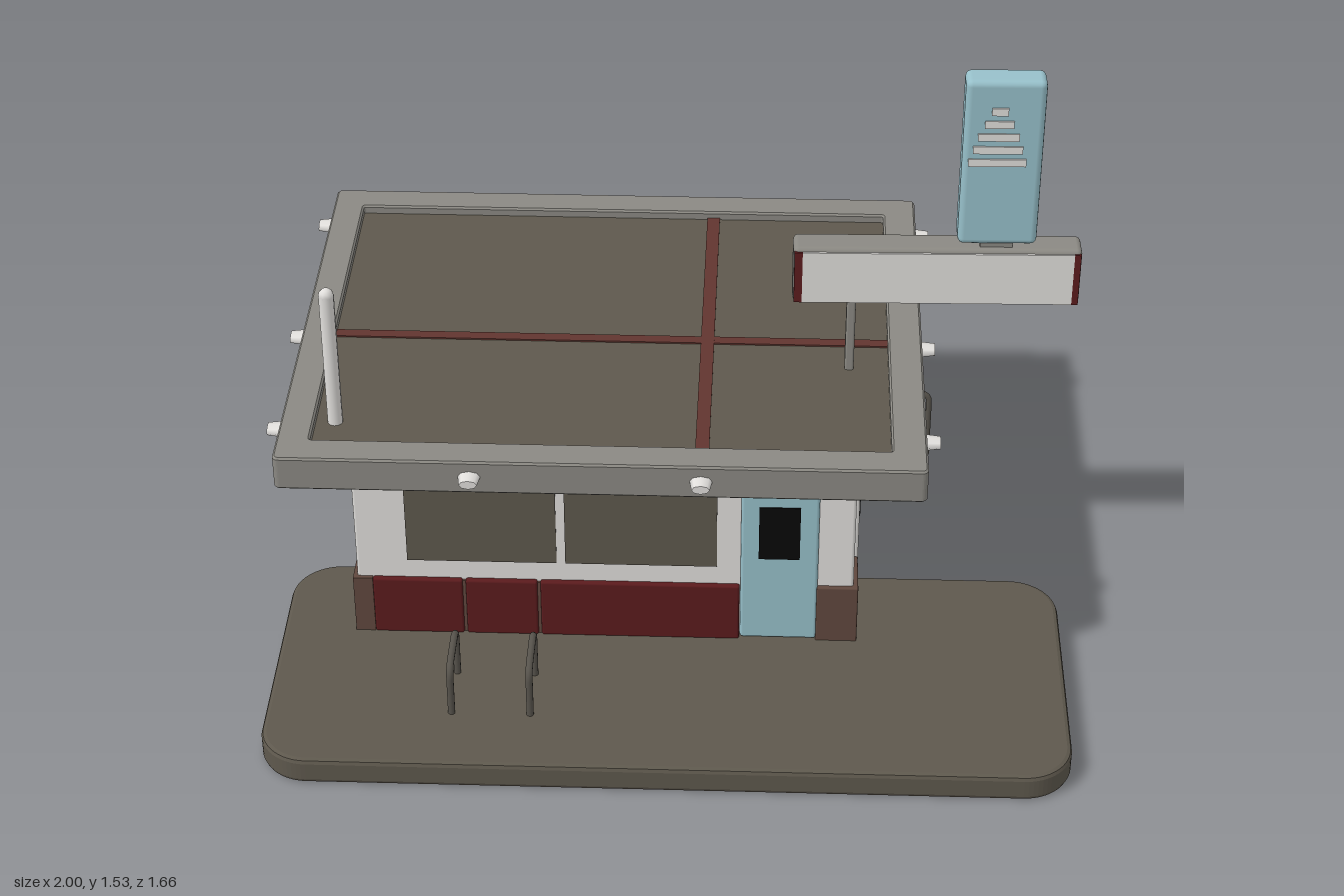
import * as THREE from 'three';
import { RoundedBoxGeometry } from 'three/addons/geometries/RoundedBoxGeometry.js';

const mat = (name, color) => Object.assign(new THREE.MeshStandardMaterial({ color }), { name });

export function createModel() {
  const model = new THREE.Group();
  model.name = 'roadsideDiner';
  const asphalt = mat('asphalt', 0x5e584d), grey = mat('trimGrey', 0x8b8983);
  const white = mat('wallWhite', 0xe1dfdc), red = mat('darkRed', 0x5b1b1d);
  const brown = mat('brown', 0x60483e), blue = mat('paleBlue', 0x97c0ca);
  const orange = mat('orange', 0xe2960e), black = mat('glassBlack', 0x080808);
  const stripe = mat('roofStripe', 0x61352f), steel = mat('railSteel', 0x57534c);

  const add = (name, geometry, material, parent = model) => {
    const mesh = new THREE.Mesh(geometry, material);
    mesh.name = name;
    parent.add(mesh);
    return mesh;
  };
  // Box given by its min and max on each axis, with optional rounded edges
  const box = (name, material, x0, x1, y0, y1, z0, z1, r = 0, parent = model) => {
    const s = [x1 - x0, y1 - y0, z1 - z0];
    const g = r ? new RoundedBoxGeometry(...s, 2, r) : new THREE.BoxGeometry(...s);
    g.translate((x0 + x1) / 2, (y0 + y1) / 2, (z0 + z1) / 2);
    return add(name, g, material, parent);
  };
  // Pipe through points: straight runs with rounded bends
  const pipe = (name, material, pts, radius, bend = 0.03) => {
    const v = pts.map((p) => new THREE.Vector3(...p));
    const path = new THREE.CurvePath();
    let from = v[0];
    for (let i = 1; i < v.length - 1; i++) {
      const a = v[i].clone().add(v[i - 1].clone().sub(v[i]).setLength(bend));
      const b = v[i].clone().add(v[i + 1].clone().sub(v[i]).setLength(bend));
      path.add(new THREE.LineCurve3(from, a));
      path.add(new THREE.QuadraticBezierCurve3(a, v[i], b));
      from = b;
    }
    path.add(new THREE.LineCurve3(from, v[v.length - 1]));
    const mesh = add(name, new THREE.TubeGeometry(path, 48, radius, 10), material);
    // End caps
    [v[0], v[v.length - 1]].forEach((p) => {
      const cap = add(name + 'Cap', new THREE.SphereGeometry(radius, 10, 6), material, mesh);
      cap.position.copy(p);
    });
  };
  // Closed outline with rounded corners
  const outline = (Type, x0, x1, y0, y1, r) => {
    const s = new Type();
    s.absarc(x1 - r, y1 - r, r, 0, Math.PI / 2);
    s.absarc(x0 + r, y1 - r, r, Math.PI / 2, Math.PI);
    s.absarc(x0 + r, y0 + r, r, Math.PI, Math.PI * 1.5);
    s.absarc(x1 - r, y0 + r, r, Math.PI * 1.5, Math.PI * 2);
    s.closePath();
    return s;
  };

  // Forecourt slab
  const slab = new THREE.ExtrudeGeometry(outline(THREE.Shape, -0.985, 0.98, -0.82, -0.07, 0.11), {
    depth: 0.048, bevelSize: 0.012, bevelThickness: 0.012, bevelSegments: 2, curveSegments: 8,
  });
  slab.rotateX(-Math.PI / 2).translate(0, 0.012, 0);
  add('forecourt', slab, asphalt);

  // Walls, floor and skirting
  box('walls', white, -0.80, 0.458, 0.08, 0.64, -0.627, 0.315, 0.008);
  box('floor', asphalt, -0.80, 0.46, 0.064, 0.08, -0.62, 0.31);
  box('skirtBack', red, -0.81, 0.468, 0.066, 0.238, -0.636, -0.61);
  box('skirtLeft', red, -0.81, -0.79, 0.066, 0.238, -0.62, 0.19);
  box('skirtLeftFront', brown, -0.81, -0.79, 0.066, 0.24, 0.19, 0.326);
  box('skirtFrontEnd', brown, -0.80, -0.76, 0.066, 0.24, 0.30, 0.326);
  [[-0.76, -0.532], [-0.524, -0.342], [-0.334, 0.17]].forEach(([a, b]) =>
    box('skirtFront', red, a, b, 0.07, 0.24, 0.30, 0.328, 0.006));
  box('skirtBacking', brown, -0.76, 0.17, 0.07, 0.235, 0.305, 0.321);
  box('skirtCorner', brown, 0.365, 0.47, 0.066, 0.24, 0.19, 0.326, 0.004);
  box('skirtSideMiddle', red, 0.45, 0.468, 0.066, 0.238, -0.31, -0.02);
  box('skirtSideBack', red, 0.45, 0.468, 0.066, 0.238, -0.632, -0.51);
  box('skirtUnderDoor', red, 0.45, 0.468, 0.066, 0.11, -0.51, -0.31);

  // Front windows
  [[-0.67, -0.292], [-0.27, 0.112]].forEach(([a, b]) =>
    box('frontWindow', asphalt, a, b, 0.295, 0.515, 0.312, 0.318));

  // Front door with pane
  box('frontDoor', blue, 0.172, 0.367, 0.075, 0.55, 0.295, 0.325, 0.008);
  box('frontDoorPane', black, 0.217, 0.32, 0.33, 0.49, 0.321, 0.328);

  // Side doors with lintels, panes and handle
  [[white, -0.015, 0.185, 0.068, 0.017, 0.14], [orange, -0.515, -0.313, 0.11, -0.465, -0.35]]
    .forEach(([m, a, b, y, p, q]) => {
      box('sideDoor', m, 0.445, 0.471, y, 0.53, a, b, 0.008);
      box('doorLintel', white, 0.445, 0.481, 0.528, 0.542, a - 0.006, b + 0.006);
      box('sideDoorPane', black, 0.468, 0.474, 0.33, 0.49, p, q);
    });
  box('doorHandle', steel, 0.465, 0.49, 0.305, 0.335, -0.35, -0.325, 0.005);
  box('wallUnit', white, 0.45, 0.515, 0.375, 0.458, -0.215, -0.08, 0.01);

  // Doorstep and handrail
  box('doorstep', red, 0.46, 0.61, 0.074, 0.114, -0.55, -0.275, 0.012);
  const rz = -0.585;
  pipe('handrail', steel, [[0.46, 0.33, rz], [0.68, 0.205, rz], [0.68, 0.012, rz]], 0.008, 0.015);
  pipe('railPost', steel, [[0.575, 0.265, rz], [0.575, 0.16, rz], [0.575, 0.012, rz]], 0.007);
  pipe('railBrace', steel, [[0.46, 0.165, rz], [0.53, 0.19, rz], [0.575, 0.26, rz]], 0.008, 0.02);

  // Roof: deck with soffit, raised rim, deck stripes
  box('roofDeck', asphalt, -0.95, 0.61, 0.622, 0.692, -0.78, 0.46);
  const rim = outline(THREE.Shape, -0.957, 0.617, -0.467, 0.787, 0.01);
  rim.holes.push(outline(THREE.Path, -0.885, 0.54, -0.392, 0.712, 0.01));
  const rimG = new THREE.ExtrudeGeometry(rim, {
    depth: 0.082, bevelSize: 0.005, bevelThickness: 0.005, bevelSegments: 1, curveSegments: 3,
  });
  rimG.rotateX(-Math.PI / 2).translate(0, 0.628, 0);
  add('roofRim', rimG, grey);
  box('soffit', asphalt, -0.945, 0.605, 0.619, 0.63, -0.775, 0.455);
  box('roofStripeLong', stripe, -0.88, 0.535, 0.69, 0.696, -0.125, -0.095);
  box('roofStripeCross', stripe, 0.058, 0.092, 0.69, 0.697, -0.707, 0.387);

  // Small lamps around the rim
  const lamp = (x, z, turn) => {
    const g = new THREE.CylinderGeometry(0.022, 0.029, 0.045, 8);
    g.rotateX(Math.PI / 2).scale(1, 0.55, 1).rotateY(turn).translate(x, 0.673, z);
    add('rimLamp', g, white);
  };
  [-0.485, 0.075].forEach((x) => { lamp(x, 0.485, 0); lamp(x, -0.807, Math.PI); });
  [-0.67, -0.12, 0.29].forEach((z) => { lamp(0.635, z, Math.PI / 2); lamp(-0.977, z, -Math.PI / 2); });

  // Vent pipe with elbow into the wall
  pipe('ventPipe', white, [[-0.79, 0.525, 0.28], [-0.832, 0.565, 0.28], [-0.832, 1.062, 0.28]], 0.019, 0.03);

  // Sign pole, then the sign itself, turned slightly about its middle
  box('signPole', grey, 0.424, 0.447, 0.685, 0.92, -0.037, 0.008, 0.006);
  const sign = new THREE.Group();
  sign.name = 'sign';
  sign.position.set(0.642, 0, -0.018);
  sign.rotation.y = 0.018;
  model.add(sign);
  const part = (name, m, x0, x1, y0, y1, z0, z1, r) => box(name, m, x0, x1, y0, y1, z0, z1, r, sign);
  part('signBoard', grey, -0.355, 0.355, 0.902, 1.062, -0.04, 0.04, 0.014);
  [-1, 1].forEach((s) => {
    const plate = (name, m, x0, x1, y0, y1, z) =>
      part(name, m, x0, x1, y0, y1, s * z - 0.004, s * z + 0.004);
    plate('signFace', white, -0.332, 0.336, 0.908, 1.052, 0.04);
    // Stacked bars on the panel
    [[1.31, 0.07], [1.345, 0.06], [1.38, 0.05], [1.415, 0.035], [1.45, 0.02]].forEach(([y, w]) =>
      plate('panelBar', white, 0.13 - w, 0.13 + w, y - 0.01, y + 0.01, 0.037));
  });
  // Red strips at both ends of the front face
  [[-0.352, -0.332], [0.336, 0.352]].forEach(([a, b]) =>
    part('signEndStrip', red, a, b, 0.908, 1.052, 0.035, 0.044));
  part('panelNeck', grey, 0.103, 0.183, 1.05, 1.09, -0.024, 0.024);
  part('signPanel', blue, 0.046, 0.24, 1.075, 1.53, -0.037, 0.037, 0.016);

  // Bike hoops
  [-0.535, -0.34].forEach((x) =>
    pipe('bikeHoop', steel, [[x, 0.065, 0.485], [x, 0.212, 0.485], [x, 0.212, 0.64], [x, 0.065, 0.64]], 0.009, 0.035));

  return model;
}
